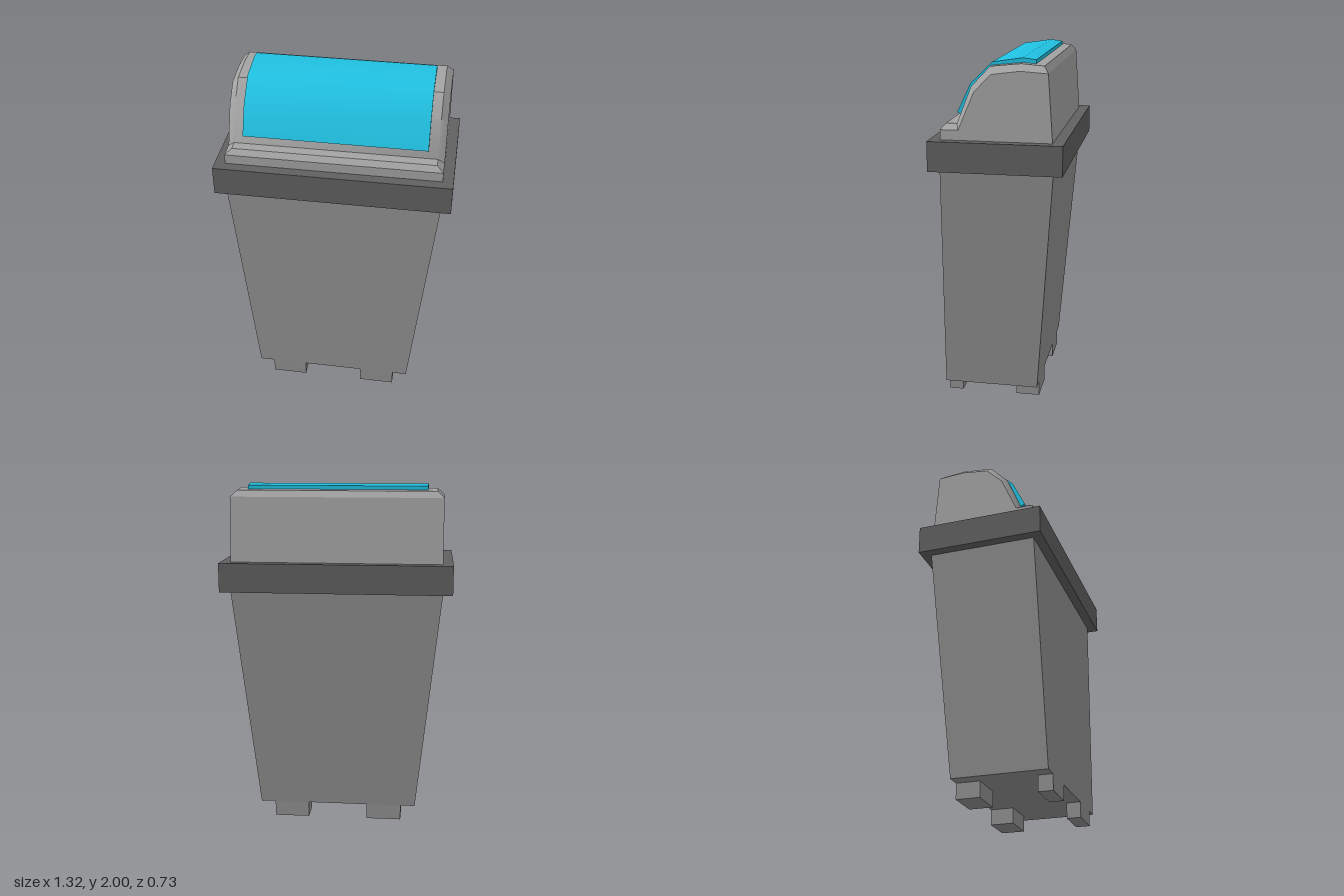
import * as THREE from 'three';
import { mergeGeometries, toCreasedNormals } from 'three/addons/utils/BufferGeometryUtils.js';

const bodyGrey = new THREE.MeshStandardMaterial({ color: 0x8f8f8f });
const lidGrey = new THREE.MeshStandardMaterial({ color: 0xa3a3a3 });
const rimGrey = new THREE.MeshStandardMaterial({ color: 0x606060 });
const cyan = new THREE.MeshStandardMaterial({ color: 0x20c0e1 });

const CREASE = 0.69;

function add(parent, name, geometry, material) {
  const mesh = new THREE.Mesh(geometry, material);
  mesh.name = name;
  parent.add(mesh);
}

// Box given by its limits on each axis
function boxBetween(x0, x1, y0, y1, z0, z1) {
  return new THREE.BoxGeometry(x1 - x0, y1 - y0, z1 - z0)
    .translate((x0 + x1) / 2, (y0 + y1) / 2, (z0 + z1) / 2);
}

// Bin body: a box whose lower end narrows, the back more than the front
function bodyGeometry() {
  const geo = boxBetween(-1, 1, 0.09, 1.41, -1, 1).toNonIndexed();
  const p = geo.attributes.position;
  for (let i = 0; i < p.count; i++) {
    const top = p.getY(i) > 1;
    const halfWidth = top ? 0.605 : 0.465;
    const z = p.getZ(i) > 0 ? (top ? 0.31 : 0.335) : (top ? -0.31 : -0.207);
    p.setXYZ(i, p.getX(i) * halfWidth, p.getY(i), z);
  }
  geo.computeVertexNormals();
  return geo;
}

// Flat end of the lid, facing +x (side = 1) or -x (side = -1)
function endCap(profile, x, side) {
  const shape = new THREE.Shape(profile.map(([z, y]) => new THREE.Vector2(-side * z, y)));
  const cap = new THREE.ShapeGeometry(shape).toNonIndexed();
  cap.deleteAttribute('uv');
  return cap.rotateY(side * Math.PI / 2).translate(side * x, 0, 0);
}

// Strips between neighbouring rings, for profile segments first to last
function loft(rings, first, last) {
  const pos = [];
  const corner = ([x, ring], m) => new THREE.Vector3(x, ring[m][1], ring[m][0]);
  for (let i = 0; i < rings.length - 1; i++) {
    for (let j = first; j <= last; j++) {
      const k = (j + 1) % rings[i][1].length;
      const a = corner(rings[i], j), b = corner(rings[i + 1], j);
      const c = corner(rings[i + 1], k), d = corner(rings[i], k);
      for (const tri of [[a, b, c], [a, c, d]]) {
        // Skip the empty triangles at the mitred corners
        if (new THREE.Triangle(...tri).getArea() < 1e-7) continue;
        tri.forEach((v) => pos.push(v.x, v.y, v.z));
      }
    }
  }
  const geo = new THREE.BufferGeometry();
  geo.setAttribute('position', new THREE.Float32BufferAttribute(pos, 3));
  geo.computeVertexNormals();
  return geo;
}

// Lid: [z, y] profiles lofted along x, with chamfered ends
function lidGeometry() {
  const crown = [[0.305, 1.56], [0.305, 1.62], [0.28, 1.65], [0.22, 1.65], [0.14, 1.85],
    [0.037, 1.958], [-0.13, 1.975], [-0.252, 1.965], [-0.277, 1.93], [-0.303, 1.56]];
  const edge = [[0.305, 1.56], [0.305, 1.62], [0.305, 1.62], [0.206, 1.62], [0.118, 1.825],
    [0.026, 1.92], [-0.13, 1.94], [-0.277, 1.93], [-0.277, 1.93], [-0.303, 1.56]];
  const rings = [[-0.6, edge], [-0.563, crown], [0.563, crown], [0.6, edge]];
  const outline = edge.filter((pt, i) => i !== 2 && i !== 8);
  return mergeGeometries([
    loft(rings, 0, 2), // front step, flat
    toCreasedNormals(loft(rings, 3, 6), CREASE), // curved top, smooth
    loft(rings, 7, 9), // rear chamfer, back and underside, flat
    endCap(outline, 0.6, 1),
    endCap(outline, 0.6, -1),
  ]);
}

// Flap: curved plate following the lid
function flapGeometry() {
  const outline = [[0.23, 1.702], [0.155, 1.86], [0.036, 1.975], [-0.13, 2], [-0.2, 1.99],
    [-0.2, 1.965], [-0.13, 1.972], [0.033, 1.952], [0.135, 1.845], [0.203, 1.688]];
  const shape = new THREE.Shape(outline.map(([z, y]) => new THREE.Vector2(z, y)));
  const geo = new THREE.ExtrudeGeometry(shape, { depth: 1.02, bevelEnabled: false })
    .translate(0, 0, -0.51).rotateY(-Math.PI / 2);
  return toCreasedNormals(geo, CREASE);
}

export function createModel() {
  const bin = new THREE.Group();
  bin.name = 'swingLidBin';

  add(bin, 'body', bodyGeometry(), bodyGrey);
  add(bin, 'rim', boxBetween(-0.658, 0.658, 1.4, 1.565, -0.365, 0.365), rimGrey);
  add(bin, 'lid', lidGeometry(), lidGrey);
  add(bin, 'flap', flapGeometry(), cyan);

  // Four block feet
  for (const [side, x0, x1] of [['left', 0.175, 0.38], ['right', -0.38, -0.175]]) {
    add(bin, side + 'FrontFoot', boxBetween(x0, x1, 0, 0.09, 0.253, 0.335), bodyGrey);
    add(bin, side + 'BackFoot', boxBetween(x0, x1, 0, 0.09, -0.207, -0.07), bodyGrey);
  }
  return bin;
}
